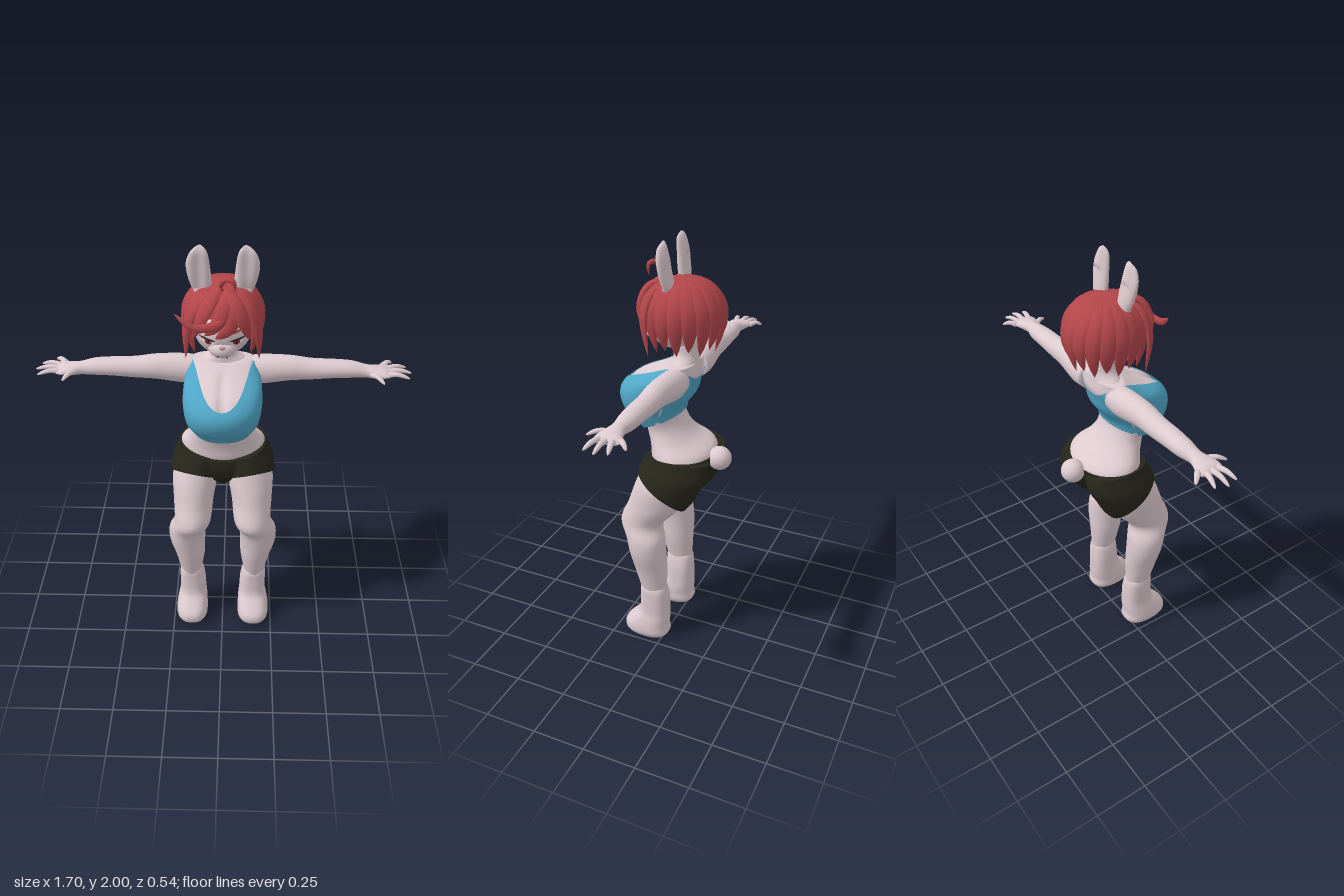
import * as THREE from 'three';

const mat = (name, color, side = THREE.FrontSide) => {
  const m = new THREE.MeshStandardMaterial({ color, side });
  m.name = name;
  return m;
};
const TAU = Math.PI * 2;
const V = (x, y, z) => new THREE.Vector3(x, y, z);

// Closed skin over a list of rings (each ring runs counter-clockwise about the path)
function skinOver(rings, caps = true) {
  const n = rings[0].length, pos = [], idx = [];
  rings.forEach(r => r.forEach(p => pos.push(p.x, p.y, p.z)));
  for (let i = 0; i < rings.length - 1; i++) for (let j = 0; j < n; j++) {
    const k = (j + 1) % n, a = i * n, b = a + n;
    idx.push(a + j, a + k, b + k, a + j, b + k, b + j);
  }
  if (caps) [0, rings.length - 1].forEach((i, top) => {
    const c = rings[i].reduce((s, p) => s.add(p), V(0, 0, 0)).divideScalar(n);
    const ci = pos.length / 3;
    pos.push(c.x, c.y, c.z);
    for (let j = 0; j < n; j++) {
      const a = i * n + j, b = i * n + (j + 1) % n;
      idx.push(ci, ...(top ? [a, b] : [b, a]));
    }
  });
  const g = new THREE.BufferGeometry();
  g.setAttribute('position', new THREE.Float32BufferAttribute(pos, 3));
  g.setIndex(idx);
  g.computeVertexNormals();
  return g;
}

// Smooth value of the cross-section [t, cu, cv, ru, rv] at t
function sectionAt(s, t) {
  t = Math.min(Math.max(t, s[0][0]), s[s.length - 1][0]);
  let k = 0;
  while (k < s.length - 2 && t > s[k + 1][0]) k++;
  const h = s[k + 1][0] - s[k][0], f = (t - s[k][0]) / h;
  const slope = (q, c) => {
    const a = s[Math.max(q - 1, 0)], b = s[Math.min(q + 1, s.length - 1)];
    return (b[c] - a[c]) / (b[0] - a[0]) * h;
  };
  return [1, 2, 3, 4].map(c => {
    const p = s[k][c], q = s[k + 1][c], m = slope(k, c), w = slope(k + 1, c);
    return p + f * m + f * f * (3 * (q - p) - 2 * m - w) + f ** 3 * (2 * (p - q) + m + w);
  });
}

// Loft of superellipse sections along y (u = x, v = z) or x (u = z, v = y), with angle-dependent ends
function loft(s, { axis = 'y', lo, hi, n = 28, seg = 36, e = 2, warp, caps = true } = {}) {
  const bend = c => Math.sign(c) * Math.abs(c) ** (2 / e);
  const rings = [];
  for (let i = 0; i <= n; i++) {
    const ring = [];
    for (let j = 0; j < seg; j++) {
      const a = j / seg * TAU, t0 = lo ? lo(a) : s[0][0], t1 = hi ? hi(a) : s[s.length - 1][0];
      const t = t0 + (t1 - t0) * i / n, [cu, cv, ru, rv] = sectionAt(s, t);
      const u = cu + ru * bend(Math.sin(a)), v = cv + rv * bend(Math.cos(a));
      const p = axis === 'y' ? V(u, t, v) : V(t, v, u);
      if (warp) warp(p);
      ring.push(p);
    }
    rings.push(ring);
  }
  return skinOver(rings, caps);
}

// Flattened tapering strand along a curve; up(p) gives its thin direction
function strand(pts, w, h, up, taper, n = 14, seg = 10) {
  const curve = new THREE.CatmullRomCurve3(pts.map(p => V(...p))), rings = [];
  for (let i = 0; i <= n; i++) {
    const s = i / n, p = curve.getPoint(s), T = curve.getTangent(s), U = up(p);
    U.addScaledVector(T, -U.dot(T)).normalize();
    const S = U.clone().cross(T), f = taper(s);
    rings.push(Array.from({ length: seg }, (_, j) => p.clone()
      .addScaledVector(S, w * f * Math.cos(j / seg * TAU)).addScaledVector(U, h * f * Math.sin(j / seg * TAU))));
  }
  return skinOver(rings);
}

function mirrored(g) {
  const m = g.clone().scale(-1, 1, 1), ix = m.index.array;
  for (let i = 0; i < ix.length; i += 3) [ix[i], ix[i + 1]] = [ix[i + 1], ix[i]];
  m.computeVertexNormals();
  return m;
}

const ball = (x, y, z, rx, ry, rz) => new THREE.SphereGeometry(1, 32, 24).scale(rx, ry, rz).translate(x, y, z);

export function createModel() {
  const fur = mat('pale fur', 0xdccacf), hair = mat('red hair', 0xb2464a, THREE.DoubleSide);
  const cloth = mat('blue cloth', 0x50a6c6, THREE.DoubleSide), dark = mat('dark cloth', 0x26261b, THREE.DoubleSide);
  const white = mat('eye white', 0xeeeaea), iris = mat('red iris', 0xa8323c);
  const black = mat('dark line', 0x3a2226), pink = mat('nose pink', 0xc98f98);
  const root = new THREE.Group();
  const add = (name, g, m) => {
    const o = new THREE.Mesh(g, m);
    o.name = name;
    root.add(o);
  };
  const pair = (name, g, m) => { add(name + 'Left', g, m); add(name + 'Right', mirrored(g), m); };

  // Torso and neck
  add('torso', loft([[.95, 0, -.035, .19, .13], [1.0, 0, -.04, .202, .146], [1.035, 0, -.028, .19, .137],
    [1.07, 0, .008, .162, .108], [1.13, 0, .045, .137, .09], [1.2, 0, .06, .148, .08], [1.3, 0, .02, .16, .09],
    [1.38, 0, -.025, .155, .075], [1.44, 0, -.042, .12, .06], [1.475, 0, -.042, .065, .055],
    [1.51, 0, -.04, .054, .054], [1.6, 0, -.03, .056, .056]], { n: 44 }), fur);

  // Chest, with the cropped top laid over it
  const bust = [[1.1, 0, .05, .122, .088], [1.15, 0, .075, .138, .108], [1.22, 0, .108, .164, .144],
    [1.3, 0, .09, .177, .176], [1.36, 0, .055, .174, .157], [1.4, 0, .005, .165, .118], [1.455, 0, -.045, .142, .06]];
  add('chest', loft(bust.map(([y, x, z, a, b]) => [y, x, z, a - .007, b - .007]), {
    lo: () => 1.22, e: 2.2, seg: 72,
    warp: p => { if (p.z > .03) p.z -= .03 * Math.exp(-((p.x / .018) ** 2)) * Math.min(1, (p.z - .03) * 10); },
  }), fur);
  add('croppedTop', loft(bust, {
    lo: a => 1.155 - .045 * Math.cos(a),
    hi: a => 1.452 - (Math.cos(a) > 0 ? .118 : .07) * Math.cos(a) ** 4, e: 2.2, seg: 72, caps: false,
  }), cloth);

  // Shorts: centre piece plus a rounded lobe over each thigh
  add('shortsCentre', loft([[.79, 0, -.03, .045, .05], [.86, 0, -.02, .13, .115], [.93, 0, -.025, .205, .145],
    [.98, 0, -.036, .212, .152], [1.03, 0, -.04, .202, .148]],
  { hi: a => .985 + .035 * Math.sin(a) ** 2 + (Math.cos(a) < 0 ? .02 : 0) * Math.cos(a) ** 2 }), dark);
  pair('shorts', loft([[.74, .137, .05, .103, .14], [.8, .137, .02, .11, .155], [.87, .134, -.005, .116, .165],
    [.93, .122, -.03, .119, .17], [.98, .108, -.04, .11, .16], [1.03, .1, -.045, .1, .14]],
  { lo: a => .84 + .085 * Math.cos(a) + .02 * Math.sin(a), hi: a => 1.0 + .018 * Math.sin(a) }), dark);
  add('tail', ball(0, .99, -.215, .056, .056, .056), fur);

  // Legs and feet
  pair('leg', loft([[.27, .16, .055, .05, .064], [.4, .163, .07, .073, .082], [.5, .174, .08, .087, .09],
    [.58, .17, .093, .09, .095], [.65, .145, .12, .088, .106], [.75, .14, .06, .097, .128],
    [.85, .132, .025, .108, .13], [.93, .12, -.005, .105, .13]], { n: 40 }), fur);
  pair('foot', loft([[0, .158, .09, .066, .1], [.02, .158, .092, .079, .115], [.06, .158, .094, .079, .112],
    [.1, .155, .075, .074, .096], [.14, .153, .056, .067, .077], [.22, .155, .052, .064, .071],
    [.28, .16, .055, .056, .067], [.3, .16, .055, .046, .058]], { e: 2.5 }), fur);

  // Arms and hands
  pair('arm', loft([[.1, -.045, 1.39, .058, .06], [.17, -.045, 1.392, .062, .068], [.3, -.04, 1.402, .055, .058],
    [.4, -.04, 1.398, .05, .048], [.5, -.04, 1.4, .048, .042], [.58, -.04, 1.398, .043, .038],
    [.64, -.035, 1.393, .033, .03], [.69, -.032, 1.39, .049, .024], [.73, -.037, 1.39, .06, .018],
    [.75, -.037, 1.388, .05, .01]], { axis: 'x', n: 44 }), fur);
  [[.72, -.085, .77, -.135], [.73, -.06, .83, -.088], [.73, -.033, .85, -.036], [.73, -.005, .835, .016],
    [.665, -.005, .715, .07]].forEach(([x, z, tx, tz], i) =>
    pair(i < 4 ? 'finger' + (i + 1) : 'thumb', strand([[x, 1.39, z], [(x + tx) / 2, 1.396, (z + tz) / 2], [tx, 1.382, tz]],
      .015, .013, () => V(0, 1, 0), s => (1 - .4 * s) * Math.sqrt(1.001 - s ** 6)), fur));

  // Head, muzzle and ears
  add('head', ball(0, 1.635, .01, .128, .127, .125), fur);
  add('muzzle', ball(0, 1.572, .09, .062, .045, .058), fur);
  add('nose', ball(0, 1.592, .142, .013, .008, .007), pink);
  add('mouth', new THREE.TorusGeometry(.02, .002, 6, 16, Math.PI).translate(0, 1.545, .139), black);
  pair('ear', loft([[1.76, .08, -.002, .03, .025], [1.84, .095, .01, .047, .026], [1.92, .104, .022, .049, .021],
    [1.97, .1, .03, .036, .016], [1.99, .096, .032, .02, .01], [2.0, .094, .033, .004, .004]],
  { warp: p => { if (p.z > .0 && p.y > 1.8) p.z -= .012 * Math.exp(-(((p.x - .1) / .025) ** 2)); } }), fur);

  // Eyes: thin ellipses laid on the face
  const onFace = (x, y, rx, ry, tilt, lift) => {
    const g = new THREE.CircleGeometry(1, 24).scale(rx, ry, 1).rotateZ(tilt).translate(x, y, 0), p = g.attributes.position;
    for (let i = 0; i < p.count; i++) {
      const k = 1 - (p.getX(i) / .128) ** 2 - ((p.getY(i) - 1.635) / .127) ** 2;
      p.setZ(i, .01 + .125 * Math.sqrt(Math.max(k, 0)) + lift);
    }
    g.computeVertexNormals();
    return g;
  };
  pair('eyeWhite', onFace(.062, 1.613, .03, .014, .1, .003), white);
  pair('iris', onFace(.06, 1.613, .015, .013, 0, .005), iris);
  pair('pupil', onFace(.06, 1.613, .006, .008, 0, .007), black);
  pair('lash', onFace(.065, 1.627, .036, .005, .15, .008), black);
  pair('brow', onFace(.06, 1.66, .03, .005, .25, .004), hair);

  // Hair: cap, hanging locks around the sides and back, fringe and curl
  const out = p => p.clone().sub(V(0, 1.65, -.02));
  const lockTaper = s => Math.min(1, .4 + 1.6 * s) * (1.002 - s ** 4) ** .8;
  const lock = (name, pts, w = .042, h = .02) => add(name, strand(pts, w, h, out, lockTaper), hair);
  add('hairCap', new THREE.SphereGeometry(1, 32, 20, 0, TAU, 0, 1.75).scale(.158, .142, .17)
    .rotateX(-.35).translate(0, 1.685, -.035), hair);
  for (let i = 0; i <= 12; i++) {
    const f = (60 + 20 * i) / 180 * Math.PI, dx = Math.sin(f), dz = Math.cos(f);
    const at = (r, y) => [dx * r * .96, y, -.03 + dz * r * 1.04];
    lock('hairLock' + (i + 1), [at(.01, 1.82), at(.1, 1.795), at(.16, 1.72), at(.172, 1.64), at(.145, 1.515 + (i % 2) * .02)], .046, .022);
  }
  [[[0, 1.82, .02], [.05, 1.79, .11], [.09, 1.71, .14], [.12, 1.62, .115]],
    [[0, 1.82, .02], [.1, 1.77, .08], [.147, 1.68, .095], [.158, 1.505, .07]],
    [[0, 1.82, .02], [-.05, 1.79, .11], [-.09, 1.72, .14], [-.125, 1.62, .11]],
    [[0, 1.82, .02], [-.1, 1.77, .08], [-.147, 1.68, .095], [-.16, 1.505, .07]],
    [[0, 1.82, .02], [.01, 1.78, .12], [-.02, 1.71, .15], [-.075, 1.65, .145]],
    [[.03, 1.82, .02], [.055, 1.77, .12], [.03, 1.69, .152], [-.03, 1.64, .155]],
  ].forEach((p, i) => lock('fringe' + (i + 1), p, .034, .016));
  lock('strayLock', [[.04, 1.76, .13], [-.02, 1.71, .16], [-.12, 1.7, .17], [-.2, 1.755, .15]], .02, .014);
  lock('topCurl', [[0, 1.8, .05], [-.005, 1.85, .075], [.015, 1.885, .1], [.045, 1.88, .115], [.055, 1.835, .11]], .015, .012);
  return root;
}
